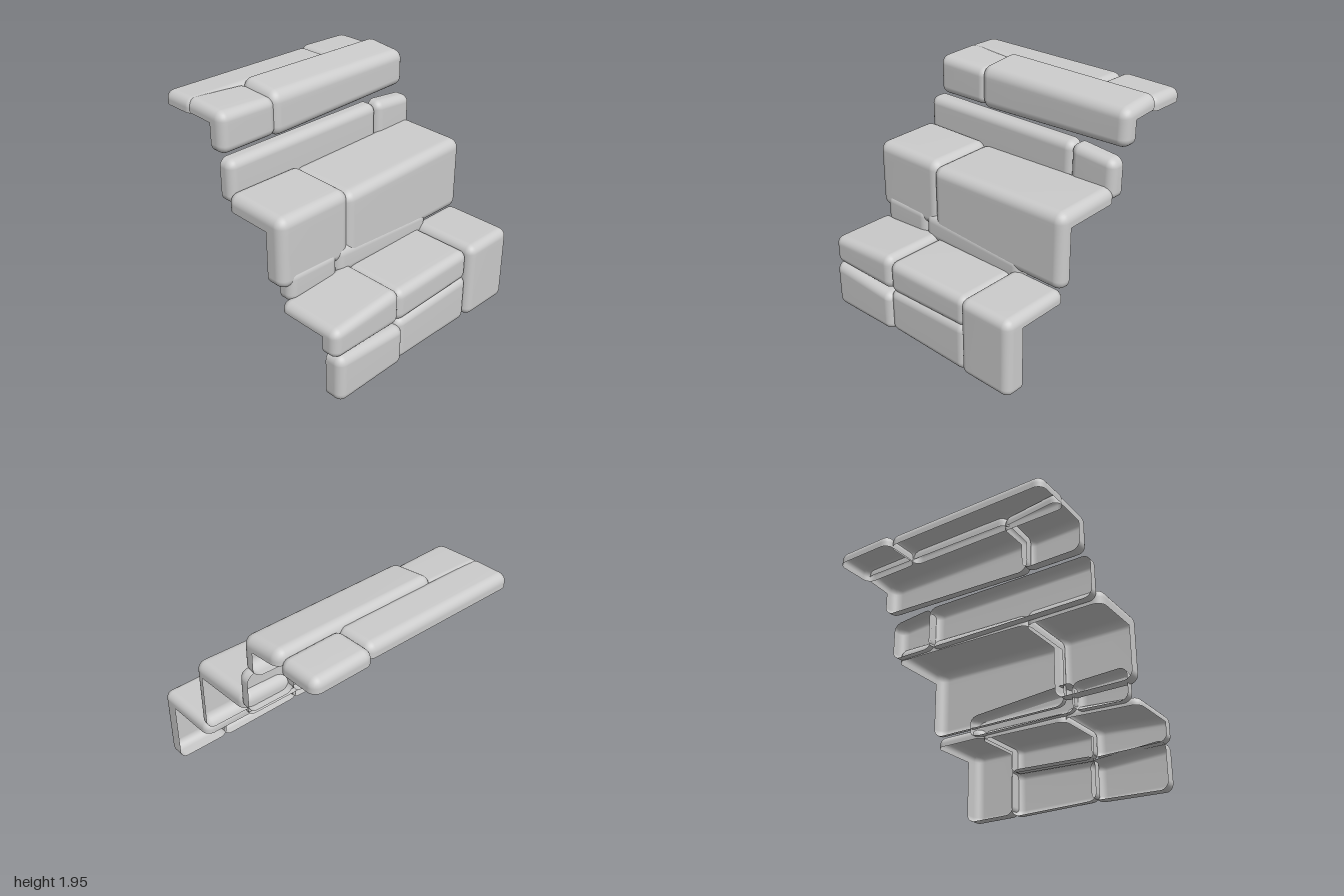
import * as THREE from 'three';
import { mergeVertices } from 'three/addons/utils/BufferGeometryUtils.js';

const material = new THREE.MeshStandardMaterial({ color: 0xcccccc, side: THREE.DoubleSide });
const N = 10; // grid cells per box axis

// Grid lines along one axis: rounded end, one cut line, rounded end.
function gridLines(length, r, cut) {
  const ends = [0, 1, 2, 3, 4].map(k => r * (1 - Math.tan((Math.PI / 4) * (1 - k / 4))));
  return [...ends, cut, ...ends.map(e => length - e).reverse()];
}

// Open stone shell: keeps a front slab (depth) and a top slab (thick) of a rounded box.
// bottom and top are heights at the [-x, +x] ends; rise lifts the back of the top.
function stone({ name, x, bottom, top, z, depth = 0, thick = 0, r = 0.07, rise = 0, skew = 0 }) {
  const size = [x[1] - x[0], (top[0] + top[1] - bottom[0] - bottom[1]) / 2, z[1] - z[0]];
  const cuts = [size[0] / 2, thick ? size[1] - thick : size[1] / 2, depth ? size[2] - depth : size[2] / 2];
  const lines = size.map((s, a) => gridLines(s, r, cuts[a]));

  const box = new THREE.BoxGeometry(1, 1, 1, N, N, N);
  box.deleteAttribute('normal');
  box.deleteAttribute('uv');
  const geometry = mergeVertices(box);
  const pos = geometry.attributes.position;
  const raw = [];
  const p = new THREE.Vector3(), core = new THREE.Vector3();
  const low = new THREE.Vector3(r, r, r);
  const high = new THREE.Vector3(...size).subScalar(r);

  for (let i = 0; i < pos.count; i++) {
    p.fromBufferAttribute(pos, i);
    p.fromArray(p.toArray().map((v, a) => lines[a][Math.round((v + 0.5) * N)]));
    raw.push(p.clone());
    // Round the edges, then slope the faces
    core.copy(p).clamp(low, high);
    p.sub(core).setLength(r).add(core);
    const u = p.x / size[0], v = p.y / size[1], w = p.z / size[2];
    const y0 = THREE.MathUtils.lerp(bottom[0], bottom[1], u);
    const y1 = THREE.MathUtils.lerp(top[0], top[1], u) + rise * (1 - w);
    pos.setXYZ(i, x[0] + p.x, THREE.MathUtils.lerp(y0, y1, v), z[0] + p.z - skew * (1 - u) * (1 - w));
  }
  geometry.computeVertexNormals();

  // Leave the hidden back and underside open
  const index = geometry.index.array, kept = [];
  for (let i = 0; i < index.length; i += 3) {
    const tri = [index[i], index[i + 1], index[i + 2]];
    const cy = tri.reduce((s, k) => s + raw[k].y, 0) / 3;
    const cz = tri.reduce((s, k) => s + raw[k].z, 0) / 3;
    if ((depth && cz > cuts[2]) || (thick && cy > cuts[1])) kept.push(...tri);
  }
  geometry.setIndex(kept);
  const mesh = new THREE.Mesh(geometry, material);
  mesh.name = name;
  return mesh;
}

const courses = {
  bottomStep: [
    { name: 'lowerRightFacing', x: [-0.97, -0.29], bottom: [0, 0.02], top: [0.41, 0.36], z: [0.6, 0.97], depth: 0.15 },
    { name: 'upperRightTread', x: [-0.99, -0.31], bottom: [0.39, 0.38], top: [0.63, 0.68], z: [0.36, 0.94], depth: 0.13, thick: 0.09 },
    { name: 'lowerMiddleFacing', x: [-0.33, 0.5], bottom: [0.02, 0.01], top: [0.4, 0.43], z: [0.6, 0.94], depth: 0.12 },
    { name: 'upperMiddleTread', x: [-0.33, 0.5], bottom: [0.37, 0.4], top: [0.65, 0.66], z: [0.36, 0.93], depth: 0.12, thick: 0.09 },
    { name: 'leftCornerStone', x: [0.485, 0.97], bottom: [0.03, 0.03], top: [0.69, 0.69], z: [0.35, 0.97], depth: 0.16, thick: 0.1 },
  ],
  lowerRiser: [
    { name: 'riserRightStone', x: [-0.93, -0.44], bottom: [0.58, 0.6], top: [0.86, 0.84], z: [0.12, 0.42], depth: 0.12 },
    { name: 'riserMiddleStone', x: [-0.45, 0.58], bottom: [0.6, 0.6], top: [0.86, 0.78], z: [0.12, 0.425], depth: 0.11 },
  ],
  middleStep: [
    { name: 'middleRightTread', x: [-1, -0.31], bottom: [0.72, 0.72], top: [1.31, 1.31], z: [-0.19, 0.41], depth: 0.16, thick: 0.14, r: 0.08, rise: 0.015 },
    { name: 'middleLeftTread', x: [-0.35, 0.98], bottom: [0.68, 0.68], top: [1.28, 1.315], z: [-0.21, 0.42], depth: 0.1, thick: 0.12, r: 0.08, rise: 0.015 },
  ],
  upperRiser: [
    { name: 'upperRiserLongStone', x: [-0.97, 0.58], bottom: [1.2, 1.2], top: [1.56, 1.57], z: [-0.45, -0.16], depth: 0.12 },
    { name: 'upperRiserShortStone', x: [0.57, 0.98], bottom: [1.21, 1.21], top: [1.58, 1.54], z: [-0.45, -0.145], depth: 0.12 },
  ],
  topStep: [
    { name: 'topRightTread', x: [-0.95, -0.42], bottom: [1.56, 1.57], top: [1.9, 1.88], z: [-0.65, -0.26], depth: 0.12, thick: 0.1, rise: 0.02, skew: 0.05 },
    { name: 'topLeftTread', x: [-0.46, 1], bottom: [1.55, 1.6], top: [1.915, 1.905], z: [-0.645, -0.25], depth: 0.12, thick: 0.11, r: 0.08, rise: 0.045 },
  ],
  landing: [
    { name: 'landingLongSlab', x: [-0.96, 0.47], bottom: [1.6, 1.6], top: [1.91, 1.91], z: [-0.94, -0.6], thick: 0.11 },
    { name: 'landingShortSlab', x: [0.455, 0.98], bottom: [1.6, 1.6], top: [1.91, 1.9], z: [-0.98, -0.62], thick: 0.11 },
  ],
};

export function createModel() {
  const model = new THREE.Group();
  model.name = 'stoneStairs';
  for (const [name, stones] of Object.entries(courses)) {
    const course = new THREE.Group();
    course.name = name;
    stones.forEach(s => course.add(stone(s)));
    model.add(course);
  }
  return model;
}
